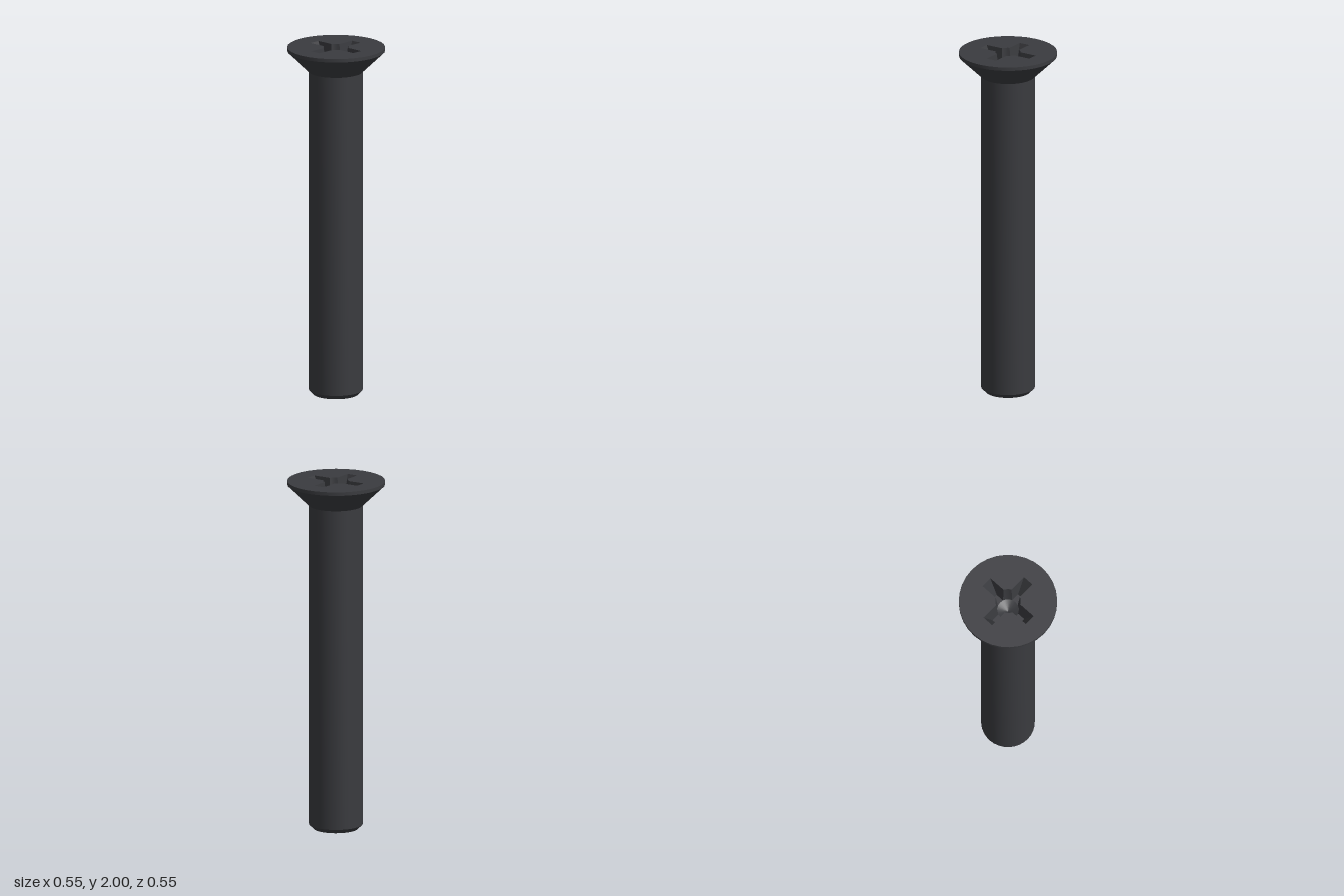
import * as THREE from 'three';
import { toCreasedNormals } from 'three/addons/utils/BufferGeometryUtils.js';

const SIDES = 32;
const HEIGHT = 2;
const HEAD_R = 0.275;
const RECESS_Y = 1.86; // floor of the cross arms
const TIP_Y = 1.83; // lowest point of the recess
const ARC_STEPS = 4;

// Arc of radius r from angle a to b, ends included
function arc(r, a, b, steps) {
  return Array.from({ length: steps + 1 }, (_, i) => {
    const t = a + ((b - a) * i) / steps;
    return new THREE.Vector2(r * Math.cos(t), r * Math.sin(t));
  });
}

// Cross outline, counter-clockwise: two arm corners, then the rounded inner corner
function crossOutline(length, halfWidth, r) {
  const a = Math.asin(halfWidth / r);
  const points = [];
  for (let k = 0; k < 4; k++) {
    const quarter = [
      new THREE.Vector2(length, -halfWidth),
      new THREE.Vector2(length, halfWidth),
      ...arc(r, a, Math.PI / 2 - a, ARC_STEPS),
    ];
    quarter.forEach((p) => points.push(p.rotateAround(new THREE.Vector2(), (k * Math.PI) / 2)));
  }
  return points;
}

// Tapered walls, arm floors and conical centre of the driver recess
function recessGeometry(top, bottom, halfWidth, r) {
  const positions = [];
  const at = (p, y) => [p.x, y, -p.y];
  const tri = (a, b, c) => positions.push(...a, ...b, ...c);

  top.forEach((p, i) => {
    const j = (i + 1) % top.length;
    const t0 = at(p, HEIGHT), t1 = at(top[j], HEIGHT);
    const b0 = at(bottom[i], RECESS_Y), b1 = at(bottom[j], RECESS_Y);
    tri(b0, t1, b1);
    tri(b0, t0, t1);
  });

  const a = Math.asin(halfWidth / r);
  const perArm = bottom.length / 4;
  const tip = [0, TIP_Y, 0];
  for (let k = 0; k < 4; k++) {
    const turn = (k * Math.PI) / 2;
    const mouth = arc(r, turn - a, turn + a, 2).map((p) => at(p, RECESS_Y));
    const corner = arc(r, turn + a, turn + Math.PI / 2 - a, ARC_STEPS).map((p) => at(p, RECESS_Y));
    const o0 = at(bottom[k * perArm], RECESS_Y);
    const o1 = at(bottom[k * perArm + 1], RECESS_Y);
    tri(mouth[0], o0, mouth[1]);
    tri(mouth[1], o0, o1);
    tri(mouth[1], o1, mouth[2]);
    [mouth, corner].forEach((rim) => {
      for (let i = 0; i < rim.length - 1; i++) tri(tip, rim[i], rim[i + 1]);
    });
  }

  const geometry = new THREE.BufferGeometry();
  geometry.setAttribute('position', new THREE.Float32BufferAttribute(positions, 3));
  return toCreasedNormals(geometry, 0.4);
}

export function createModel() {
  const screw = new THREE.Group();
  screw.name = 'screw';
  const material = new THREE.MeshStandardMaterial({ color: 0x3a3b3f });
  const add = (name, geometry) => {
    const mesh = new THREE.Mesh(geometry, material);
    mesh.name = name;
    screw.add(mesh);
    return mesh;
  };
  const lathe = (profile) => toCreasedNormals(
    new THREE.LatheGeometry(profile.map(([x, y]) => new THREE.Vector2(x, y)), SIDES), 0.4);

  // Shaft with chamfered end
  add('shaft', lathe([[0, 0], [0.125, 0], [0.15, 0.025], [0.15, 1.86]]));

  // Countersunk head with a thin straight rim
  add('headCone', lathe([[0.15, 1.86], [HEAD_R, 1.98], [HEAD_R, HEIGHT]]));

  // Flat top with a cross-shaped opening
  const top = crossOutline(0.165, 0.032, 0.071);
  const bottom = crossOutline(0.105, 0.021, 0.061);
  const face = new THREE.Shape(arc(HEAD_R, 0, 2 * Math.PI, SIDES).slice(0, -1));
  face.holes.push(new THREE.Path(top));
  const faceGeometry = new THREE.ShapeGeometry(face);
  faceGeometry.rotateX(-Math.PI / 2).translate(0, HEIGHT, 0);
  add('headTop', faceGeometry);

  // Driver recess
  add('crossRecess', recessGeometry(top, bottom, 0.021, 0.061));

  return screw;
}
